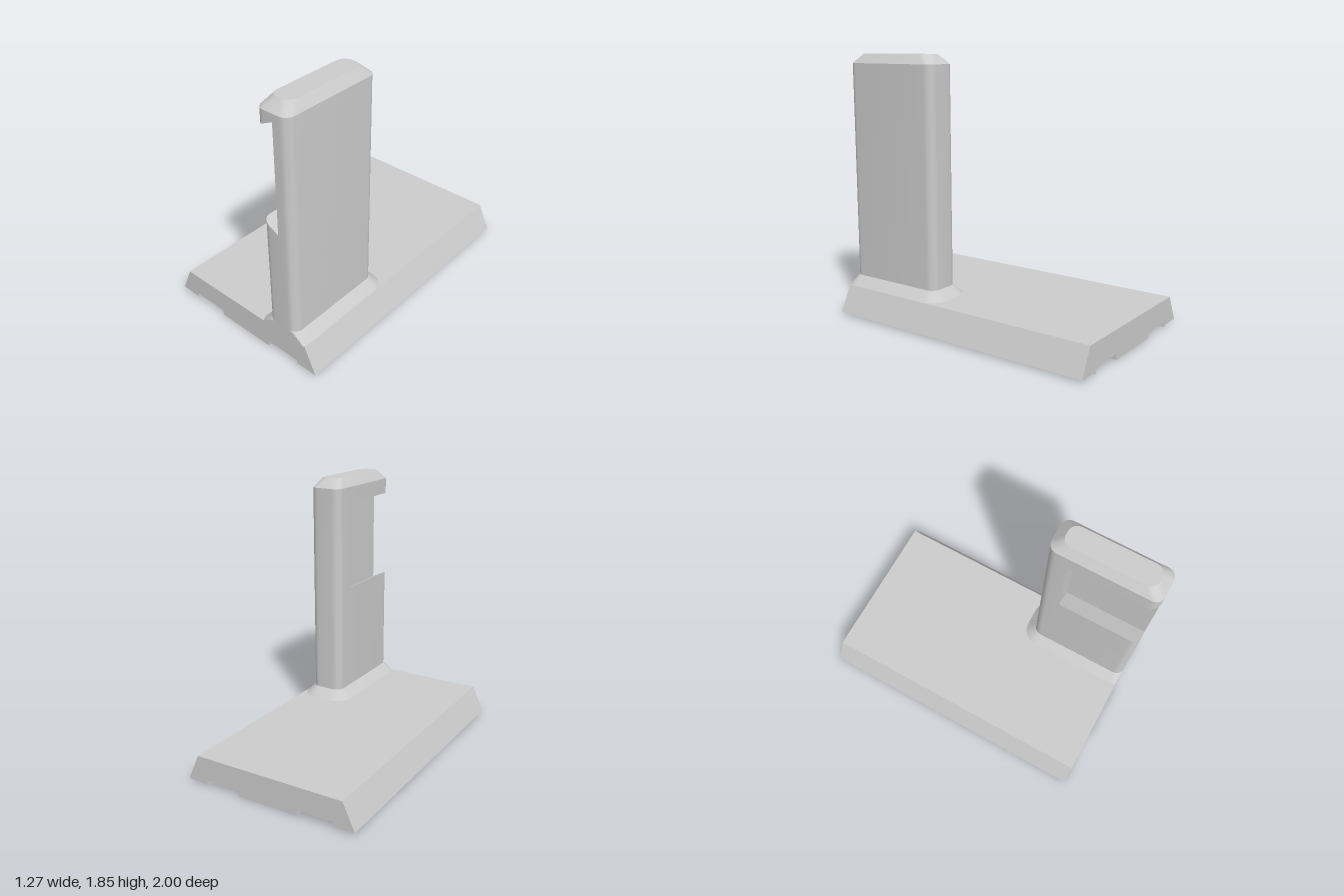
import * as THREE from 'three';
import { mergeGeometries, mergeVertices, toCreasedNormals } from 'three/addons/utils/BufferGeometryUtils.js';

const material = new THREE.MeshStandardMaterial({ color: 0xcccccc });
const X0 = 0.237, X1 = 0.477, Z0 = 0.258, Z1 = 1; // post footprint
const R = 0.06; // post corner radius
const Y0 = 0.265, Y1 = 1.785; // straight part of the post
const PX = 0.365, PZ = 0.41; // pocket floor and pocket end

function addMesh(group, name, geometry) {
  const mesh = new THREE.Mesh(geometry, material);
  mesh.name = name;
  group.add(mesh);
  return mesh;
}

// Quarter-circle corners of a rounded rectangle as [x, z], from front right round the back to front left
function corners(x0, x1, z0, z1, r, steps = 8) {
  const centres = [[x1 - r, z1 - r], [x1 - r, z0 + r], [x0 + r, z0 + r], [x0 + r, z1 - r]];
  return centres.map(([cx, cz], k) => Array.from({ length: steps + 1 }, (_, i) => {
    const a = (k + i / steps) * Math.PI / 2;
    return [cx + r * Math.sin(a), cz + r * Math.cos(a)];
  }));
}

function ring(grow, r) {
  const [gx, gz] = grow;
  const points = corners(X0 - gx, X1 + gx, Z0 - gz, Z1 + gz, r).flat();
  return [...points, points[0]];
}

// Surface through rows of [x, y, z] points, rows ordered upward
function loft(rows) {
  const n = rows[0].length, index = [];
  for (let j = 0; j < rows.length - 1; j++) {
    for (let i = 0; i < n - 1; i++) {
      const a = j * n + i, b = a + n;
      index.push(a, a + 1, b + 1, a, b + 1, b);
    }
  }
  const g = new THREE.BufferGeometry();
  g.setAttribute('position', new THREE.Float32BufferAttribute(rows.flat(2), 3));
  g.setIndex(index);
  return toCreasedNormals(mergeVertices(g, 1e-5), 0.5);
}

// Upright wall over a path of [x, z], between two heights given as functions of x
function wall(path, low, high) {
  return loft([low, high].map(h => path.map(([x, z]) => [x, h(x), z])));
}

// Horizontal or sloping face over an outline
function face(path, height, down = false) {
  const g = new THREE.ShapeGeometry(new THREE.Shape(path.map(([x, z]) => new THREE.Vector2(x, -z))));
  g.rotateX(-Math.PI / 2);
  const p = g.attributes.position;
  for (let i = 0; i < p.count; i++) p.setY(i, height(p.getX(i)));
  if (down) g.index.array.reverse();
  const flat = g.toNonIndexed();
  flat.deleteAttribute('uv');
  flat.computeVertexNormals();
  return flat;
}

export function createModel() {
  const model = new THREE.Group();
  model.name = 'stand';

  // Base plate with sloping sides and two grooves underneath
  const half = [[0.22, 0], [0.22, 0.04], [0.48, 0.04], [0.48, 0.015], [0.633, 0.015], [0.548, 0.2]];
  const mirrored = half.map(([x, y]) => [-x, y]).reverse();
  const profile = new THREE.Shape([...half, ...mirrored].map(p => new THREE.Vector2(...p)));
  const base = new THREE.ExtrudeGeometry(profile, { depth: 2, bevelEnabled: false });
  base.translate(0, 0, -1);
  addMesh(model, 'basePlate', base);

  // Four tapered wedges narrowing the grooves towards the middle notch
  for (const sx of [-1, 1]) {
    for (const sz of [-1, 1]) {
      const triangle = [[0.48, 1], [0.36, 0.09], [0.48, 0.09]];
      const shape = new THREE.Shape(triangle.map(([x, z]) => new THREE.Vector2(sx * x, sz * z)));
      const wedge = new THREE.ExtrudeGeometry(shape, { depth: 0.04, bevelEnabled: false });
      wedge.rotateX(-Math.PI / 2);
      addMesh(model, 'grooveWedge', wedge);
    }
  }

  // Post walls, with an undercut pocket open to the front
  const [fr, br, bl, fl] = corners(X0, X1, Z0, Z1, R);
  const bottom = () => Y0, top = () => Y1;
  const sill = x => 1.04 - 0.47 * (x - X0);
  const lintel = x => 1.672 + 0.47 * (x - X0);
  const mainPath = [[PX, Z1], ...fr, ...br, ...bl, [X0, PZ]];
  const pocketEdge = [[X0, PZ], ...fl, [PX, Z1]];
  const pocketInside = [[X0, PZ], [PX, PZ], [PX, Z1]];
  const pocketArea = [...pocketEdge, [PX, PZ]];
  addMesh(model, 'post', mergeGeometries([
    wall(mainPath, bottom, top),
    wall(pocketEdge, bottom, sill),
    wall(pocketEdge, lintel, top),
  ]));
  addMesh(model, 'pocket', mergeGeometries([
    wall(pocketInside, sill, lintel),
    face(pocketArea, sill),
    face(pocketArea, lintel, true),
  ]));

  // Chamfered cap
  const capTop = ring([-0.043, -0.066], 0.065);
  const capRows = [ring([0, 0], R).map(([x, z]) => [x, Y1, z]), capTop.map(([x, z]) => [x, 1.85, z])];
  addMesh(model, 'cap', mergeGeometries([loft(capRows), face(capTop.slice(0, -1), () => 1.85)]));

  // Flared foot, cut flush with the front of the base
  const footRows = [];
  for (let i = 0; i <= 8; i++) {
    const t = i / 8, grow = 0.07 * (1 - t);
    footRows.push(ring([grow, grow], R + grow).map(([x, z]) => [x, 0.2 + (Y0 - 0.2) * t, Math.min(z, 1)]));
  }
  addMesh(model, 'flaredFoot', loft(footRows));

  return model;
}
